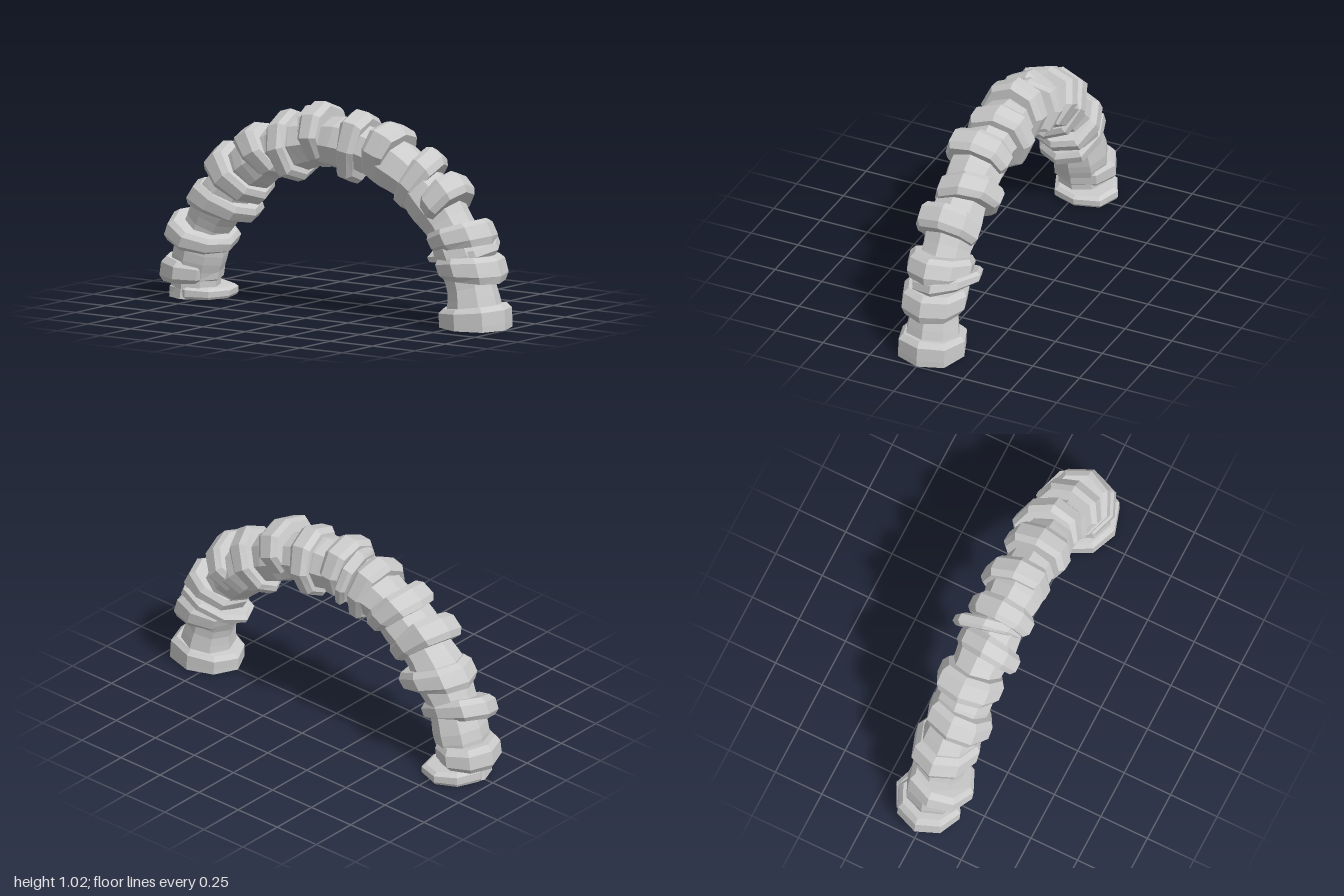
import * as THREE from 'three';

const SIDES = 8;
const material = new THREE.MeshStandardMaterial({ color: 0xcccccc, flatShading: true });

// Small repeatable noise in -1..1
const wobble = (n) => {
  const s = Math.sin(n * 127.1 + 11.7) * 43758.5453;
  return 2 * (s - Math.floor(s)) - 1;
};

// Point on the arch: angle in degrees, distance from the arch centre, depth
function polar(deg, r, z) {
  const a = THREE.MathUtils.degToRad(deg);
  return [r * Math.cos(a), Math.max(0, r * Math.sin(a)), z];
}

// One ring of points; place(cos, sin, i) gives each position
function makeRing(place) {
  return Array.from({ length: SIDES }, (_, i) => {
    const theta = (i / SIDES) * Math.PI * 2;
    return place(Math.cos(theta), Math.sin(theta), i);
  });
}

// Closed solid from a row of rings, capped at both ends
function loft(name, rings) {
  const index = [];
  for (let j = 0; j < rings.length - 1; j++) {
    for (let i = 0; i < SIDES; i++) {
      const a = j * SIDES + i, b = j * SIDES + ((i + 1) % SIDES);
      index.push(a, a + SIDES, b, b, a + SIDES, b + SIDES);
    }
  }
  const last = (rings.length - 1) * SIDES;
  for (let i = 1; i < SIDES - 1; i++) {
    index.push(0, i, i + 1, last, last + i + 1, last + i);
  }
  const indexed = new THREE.BufferGeometry();
  indexed.setAttribute('position', new THREE.Float32BufferAttribute(rings.flat(2), 3));
  indexed.setIndex(index);
  const geometry = indexed.toNonIndexed();
  geometry.computeVertexNormals();
  const mesh = new THREE.Mesh(geometry, material);
  mesh.name = name;
  return mesh;
}

// Chamfered eight-sided slab wrapped around the core
function slab([angle, width, lean, rIn, rOut, shift], id) {
  const mid = (rOut + rIn) / 2, half = (rOut - rIn) / 2;
  const start = angle - width / 2, end = angle + width / 2;
  const grounded = start <= 0 || end >= 180;
  const tilt = grounded ? 0 : -60 * shift;
  const steps = [[0, start <= 0 ? 1 : 0.87], [0.25, 1], [0.78, 1], [1, end >= 180 ? 0.95 : 0.87]];
  const rings = steps.map(([t, scale]) => makeRing((c, s, i) => {
    // Diagonal corners vary a little from stone to stone
    const k = scale * (i % 2 ? 1.02 + 0.07 * wobble(id * SIDES + i) : 1);
    const deg = start + width * t + lean * (1 - c) / 2 - tilt * s;
    return polar(deg, mid + half * c * k, shift + 0.165 * s * k);
  }));
  return loft('stoneSlab' + (id + 1), rings);
}

// Angle, angular width, lean of the inner edge, inner radius, outer radius, depth shift
const SLABS = [
  [3.65, 7.3, 0, 0.63, 1.0, 0],
  [17, 8, 6, 0.7, 1.01, 0],
  [23.3, 4, 7, 0.63, 1.01, -0.035],
  [28, 7.5, 5, 0.7, 1.03, 0],
  [44, 7.5, -2.5, 0.74, 1.03, 0],
  [55, 7.5, 0, 0.66, 1.01, -0.03],
  [69, 8, 0, 0.74, 1.01, 0],
  [81.5, 7.5, 0, 0.64, 1.0, -0.02],
  [95, 7, -0.5, 0.7, 1.02, 0],
  [100.5, 4, -1, 0.72, 1.0, -0.035],
  [106.5, 7, 0.5, 0.65, 1.0, 0.015],
  [120.5, 8, -5, 0.7, 1.0, 0],
  [132, 8, -2, 0.65, 1.01, 0.02],
  [147, 8, -7, 0.63, 0.99, 0],
  [158, 6.5, -1.5, 0.65, 1.01, 0.035],
  [172, 7.5, -1.5, 0.7, 1.01, 0],
  [177.8, 4.4, 0, 0.65, 0.95, -0.035],
];

// Continuous arched core with a slightly uneven girth
function core() {
  const count = 54;
  const rings = Array.from({ length: count + 1 }, (_, j) => {
    const r = 0.125 + 0.008 * Math.sin(j * 1.05);
    return makeRing((c, s) => polar((j / count) * 180, 0.825 + r * c, r * 1.06 * s));
  });
  return loft('archCore', rings);
}

export function createModel() {
  const arch = new THREE.Group();
  arch.name = 'stoneArch';
  arch.add(core(), ...SLABS.map(slab));
  return arch;
}
